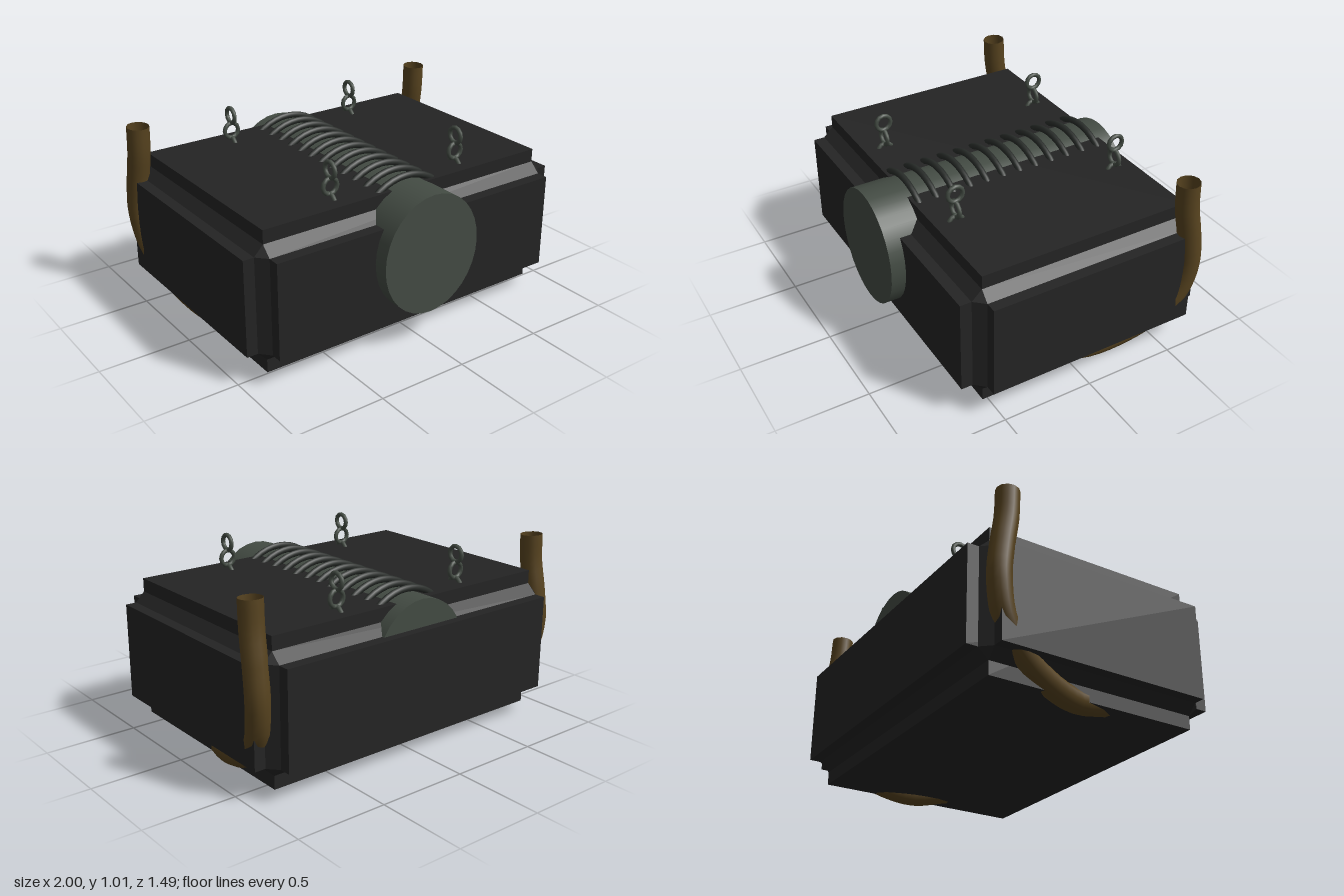
import * as THREE from 'three';
import { ConvexGeometry } from 'three/addons/geometries/ConvexGeometry.js';

function material(name, color, side = THREE.FrontSide) {
  const m = new THREE.MeshStandardMaterial({ color, side });
  m.name = name;
  return m;
}

export function createModel() {
  const model = new THREE.Group();
  const casing = material('black casing', 0x242424);
  const coil = material('dark coil', 0x282c29);
  const steel = material('grey green steel', 0x434b43);
  const brass = material('brown pipe', 0x57431f, THREE.DoubleSide);

  function add(name, geometry, mat, x, y, z, parent = model) {
    const mesh = new THREE.Mesh(geometry, mat);
    mesh.name = name;
    mesh.position.set(x, y, z);
    parent.add(mesh);
    return mesh;
  }

  // Casing: a bevelled core with a raised panel on each of its six sides
  const cy = 0.432, cz = -0.04;
  const inner = [0.86, 0.26, 0.588];
  const core = [0.91, 0.312, 0.643];
  const outer = [0.97, 0.385, 0.705];
  const corners = [];
  for (let axis = 0; axis < 3; axis++) {
    const half = inner.map((v, i) => (i === axis ? core[i] : v));
    for (const sx of [-1, 1]) for (const sy of [-1, 1]) for (const sz of [-1, 1]) {
      corners.push(new THREE.Vector3(sx * half[0], sy * half[1], sz * half[2]));
    }
    const panel = inner.map((v, i) => 2 * (i === axis ? outer[i] : v));
    add(['sidePanels', 'topAndBottomPanels', 'frontAndBackPanels'][axis],
      new THREE.BoxGeometry(...panel), casing, 0, cy, cz);
  }
  add('bevelledCore', new ConvexGeometry(corners), casing, 0, cy, cz);

  // Slightly tall drum running through the casing
  const drum = new THREE.CylinderGeometry(0.295, 0.295, 1.443, 32);
  drum.rotateX(Math.PI / 2);
  drum.scale(1, 1.102, 1);
  add('drum', drum, steel, 0, 0.515, 0.0235);

  // Coil rings around the drum
  const ring = new THREE.TorusGeometry(0.319, 0.017, 8, 48);
  ring.scale(1, 1.092, 1);
  for (let i = 0; i < 12; i++) add('coilRing', ring, coil, 0, 0.515, 0.515 - i * 0.099);

  // Four short chains, each of three alternating links
  const link = new THREE.TorusGeometry(0.042, 0.012, 8, 12);
  for (const x of [-0.4, 0.4]) for (const z of [0.43, -0.52]) {
    const chain = new THREE.Group();
    chain.name = 'chain';
    chain.position.set(x, 0, z);
    model.add(chain);
    [0.795, 0.877, 0.963].forEach((y, i) => {
      add('chainLink', link, steel, 0, y, 0, chain).rotation.y = i === 1 ? 0 : Math.PI / 2;
    });
  }

  // Mirrored open pipes curving down the back corners and under the casing
  for (const s of [-1, 1]) {
    const path = new THREE.CatmullRomCurve3([
      [0.93, 1.0, -0.57], [0.932, 0.85, -0.578], [0.938, 0.68, -0.607],
      [0.94, 0.5, -0.622], [0.918, 0.31, -0.575], [0.872, 0.155, -0.42],
      [0.812, 0.063, -0.14], [0.775, 0.105, 0.09],
    ].map(([x, y, z]) => new THREE.Vector3(s * x, y, z)));
    add(s > 0 ? 'leftPipe' : 'rightPipe', new THREE.TubeGeometry(path, 28, 0.061, 12), brass, 0, 0, 0);
  }

  return model;
}
